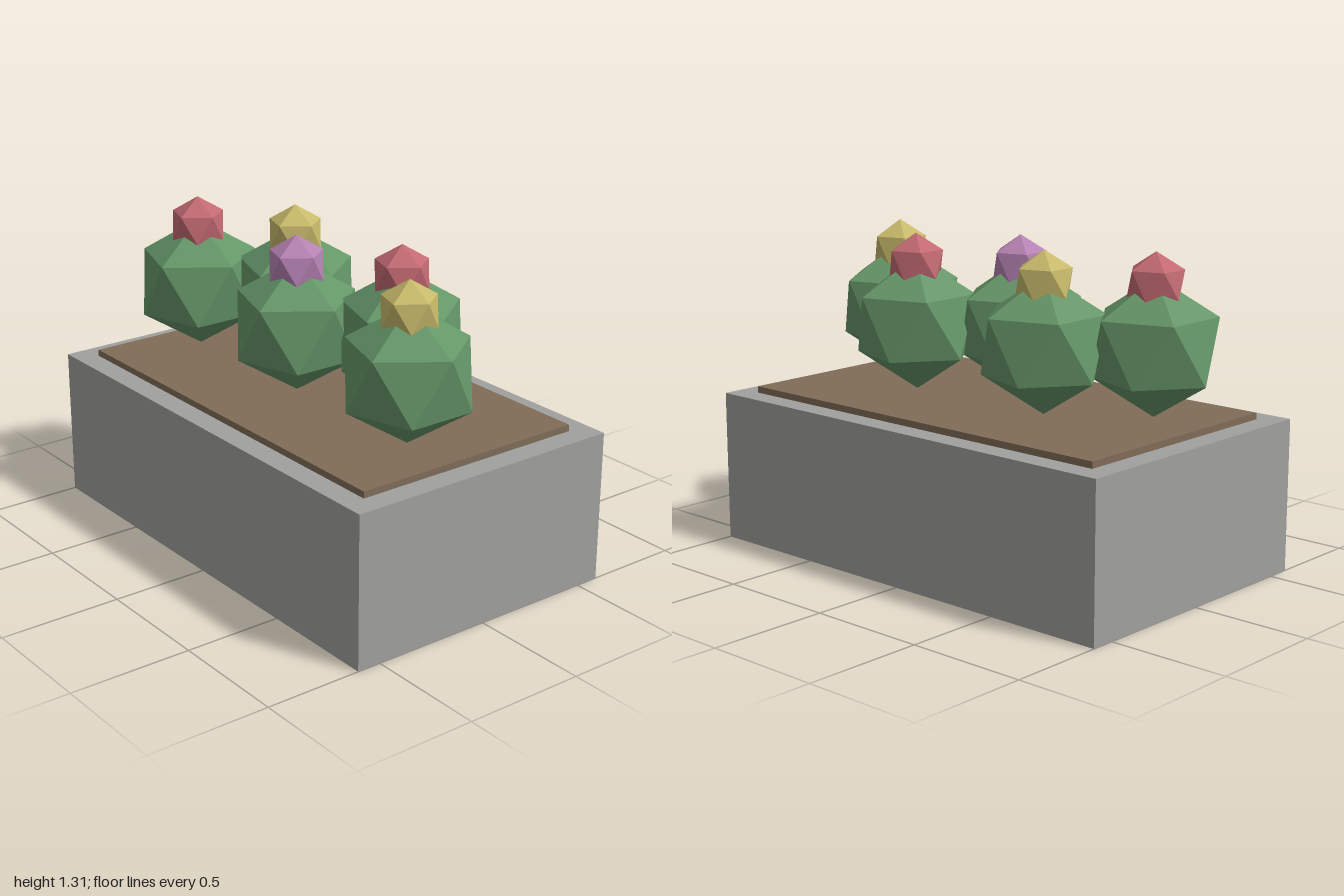
import * as THREE from 'three';

const mat = (name, color) => {
  const m = new THREE.MeshStandardMaterial({ color, flatShading: true });
  m.name = name;
  return m;
};

// Icosahedron standing on one corner, with an upper-ring corner towards +x
function uprightIcosahedron(radius) {
  const golden = (1 + Math.sqrt(5)) / 2;
  return new THREE.IcosahedronGeometry(radius, 0).rotateZ(-Math.atan(1 / golden));
}

export function createModel() {
  const model = new THREE.Group();
  model.name = 'planter';

  const stone = mat('stone grey', 0xa0a09e);
  const earth = mat('soil brown', 0x806c58);
  const leaf = mat('leaf green', 0x659668);
  const red = mat('petal red', 0xc26a72);
  const yellow = mat('petal yellow', 0xc6b96a);
  const purple = mat('petal purple', 0xb582b2);

  const add = (parent, name, geometry, material, x, y, z) => {
    const mesh = new THREE.Mesh(geometry, material);
    mesh.name = name;
    mesh.position.set(x, y, z);
    parent.add(mesh);
  };

  // Trough and the soil slab on top of it
  add(model, 'trough', new THREE.BoxGeometry(2, 0.625, 1.2), stone, 0, 0.3125, 0);
  add(model, 'soil', new THREE.BoxGeometry(1.81, 0.052, 1.01), earth, 0, 0.626, 0);

  // Five bushes in a zigzag row, each topped by a blossom
  const bushShape = uprightIcosahedron(0.274);
  const blossomShape = uprightIcosahedron(0.123);
  [red, yellow, purple, red, yellow].forEach((petal, i) => {
    const plant = new THREE.Group();
    plant.name = `plant${i + 1}`;
    plant.position.set((i - 2) * 0.344, 0, i % 2 ? -0.125 : 0.125);
    add(plant, 'bush', bushShape, leaf, 0, 0.941, 0);
    add(plant, 'blossom', blossomShape, petal, 0, 1.188, 0);
    model.add(plant);
  });

  return model;
}
